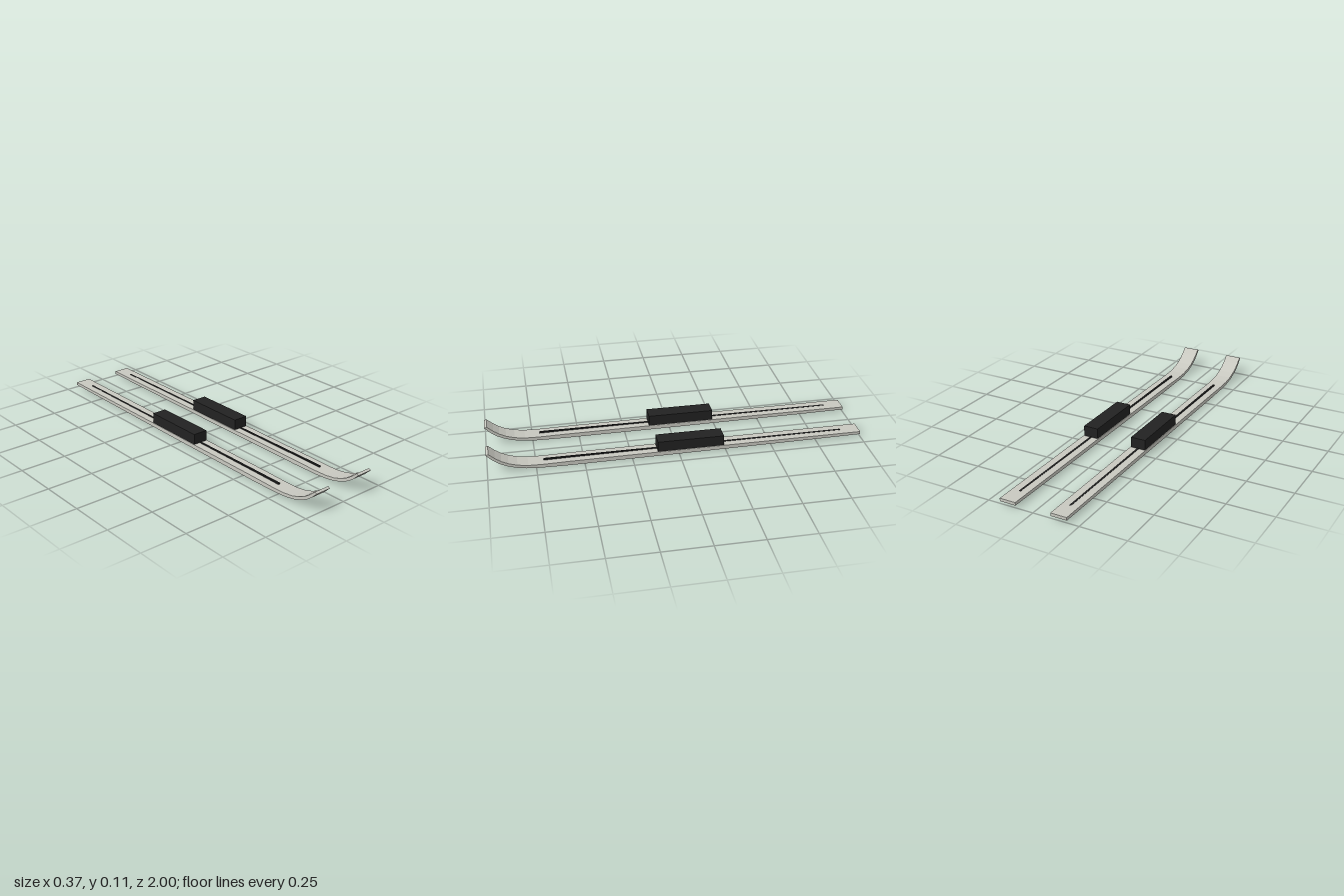
import * as THREE from 'three';

const SKI_WIDTH = 0.088;
const SKI_OFFSET = 0.141;

// Side profile as [z, y]: underside from tail to tip, then upper side back to the tail
const PROFILE = [
  [-1, 0.012], [-0.74, 0.009], [0, 0.003], [0.58, 0], [0.73, 0.002], [0.8, 0.007], [0.855, 0.017],
  [0.9, 0.032], [0.937, 0.05], [0.968, 0.073], [1, 0.105],
  [0.987, 0.111], [0.955, 0.083], [0.925, 0.062], [0.89, 0.045], [0.845, 0.031],
  [0.79, 0.023], [0.72, 0.021], [0.58, 0.023], [0, 0.026], [-1, 0.028],
];

export function createModel() {
  const skiGrey = new THREE.MeshStandardMaterial({ color: 0xc8c8c0 });
  skiGrey.name = 'skiGrey';
  const black = new THREE.MeshStandardMaterial({ color: 0x222222 });
  black.name = 'black';

  // Ski body: profile extruded across the width
  const shape = new THREE.Shape(PROFILE.map(([z, y]) => new THREE.Vector2(z, y)));
  const skiGeometry = new THREE.ExtrudeGeometry(shape, { depth: SKI_WIDTH, bevelEnabled: false });
  skiGeometry.rotateY(-Math.PI / 2).translate(SKI_WIDTH / 2, 0, 0);

  // Boot binding block and thin centre stripe
  const bindingGeometry = new THREE.BoxGeometry(0.082, 0.058, 0.354).translate(0, 0.054, -0.063);
  const stripeGeometry = new THREE.BoxGeometry(0.01, 0.009, 1.61).translate(0, 0.0245, -0.095);

  const model = new THREE.Group();
  model.name = 'skis';
  for (const [side, sign] of [['left', 1], ['right', -1]]) {
    const ski = new THREE.Group();
    ski.name = side + 'Ski';
    const parts = [
      ['Body', skiGeometry, skiGrey],
      ['Binding', bindingGeometry, black],
      ['Stripe', stripeGeometry, black],
    ];
    for (const [name, geometry, material] of parts) {
      const mesh = new THREE.Mesh(geometry, material);
      mesh.name = side + name;
      ski.add(mesh);
    }
    ski.position.x = sign * SKI_OFFSET;
    model.add(ski);
  }
  return model;
}
